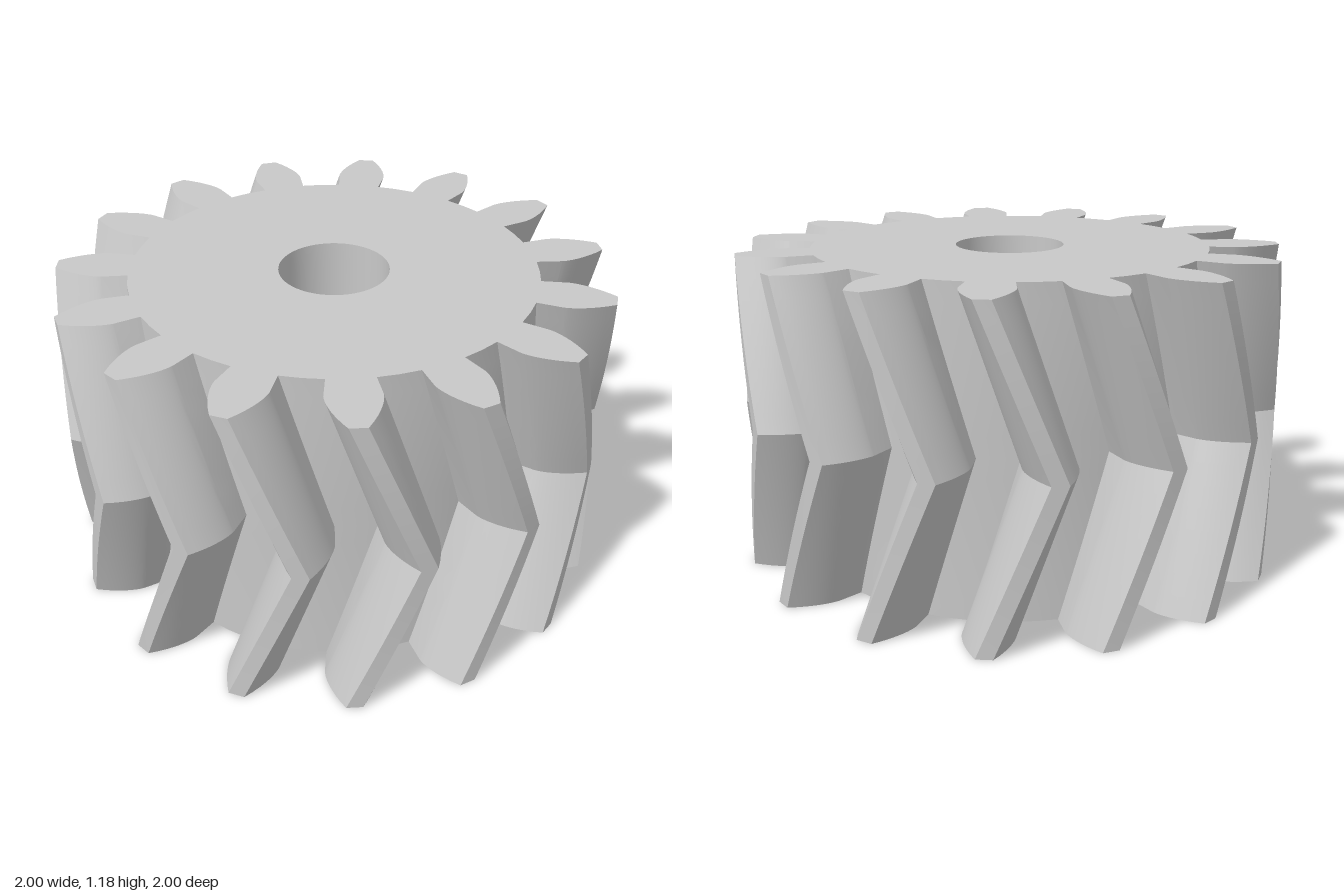
import * as THREE from 'three';
import { toCreasedNormals } from 'three/addons/utils/BufferGeometryUtils.js';

const TEETH = 15, HEIGHT = 1.176;
const OUTER = 1, BASE = 0.829, ROOT = 0.735, BORE = 0.2;
const PITCH = 2 * Math.PI / TEETH;
const deg = THREE.MathUtils.degToRad;
const BASE_HALF = deg(6.35);   // half tooth angle at the base circle
const PHASE = deg(86);         // direction of the first tooth, from +x towards +z
const TWIST = deg(-13.8);      // helix turn from either end to mid height

// One involute flank as [radius, half angle], from root to tip
function flank(steps = 10) {
  const points = [[ROOT, deg(6.25)]];
  const end = Math.sqrt((OUTER / BASE) ** 2 - 1);
  for (let i = 0; i <= steps; i++) {
    const t = end * i / steps;
    points.push([BASE * Math.hypot(1, t), BASE_HALF - (t - Math.atan(t))]);
  }
  return points;
}

// Full toothed outline with the shaft bore, which runs the opposite way round
function gearShape() {
  const side = flank();
  const outline = [], bore = [];
  const add = (r, a) => outline.push(new THREE.Vector2(r * Math.cos(a), -r * Math.sin(a)));
  for (let i = 0; i < TEETH; i++) {
    const centre = PHASE + i * PITCH;
    side.forEach(([r, h]) => add(r, centre - h));
    [...side].reverse().forEach(([r, h]) => add(r, centre + h));
    // rounded root between teeth
    add(ROOT, centre + PITCH / 2);
  }
  for (let i = 0; i < 64; i++) {
    const a = i / 64 * Math.PI * 2;
    bore.push(new THREE.Vector2(BORE * Math.cos(a), BORE * Math.sin(a)));
  }
  const shape = new THREE.Shape(outline);
  shape.holes.push(new THREE.Path(bore));
  return shape;
}

export function createModel() {
  const steel = new THREE.MeshStandardMaterial({ color: 0xc8c8c8 });
  steel.name = 'grey steel';

  const geometry = new THREE.ExtrudeGeometry(gearShape(), {
    depth: HEIGHT, steps: 16, bevelEnabled: false,
  });
  geometry.rotateX(-Math.PI / 2);

  // Turn each layer towards mid height to form the herringbone teeth; the bore stays straight
  const pos = geometry.attributes.position;
  for (let i = 0; i < pos.count; i++) {
    const x = pos.getX(i), y = pos.getY(i), z = pos.getZ(i);
    if (Math.hypot(x, z) < ROOT / 2) continue;
    const a = TWIST * (1 - Math.abs(2 * y / HEIGHT - 1));
    const c = Math.cos(a), s = Math.sin(a);
    pos.setXYZ(i, x * c - z * s, y, x * s + z * c);
  }

  const gear = new THREE.Mesh(toCreasedNormals(geometry, deg(25)), steel);
  gear.name = 'herringboneGear';
  const model = new THREE.Group();
  model.name = 'gear';
  model.add(gear);
  return model;
}
